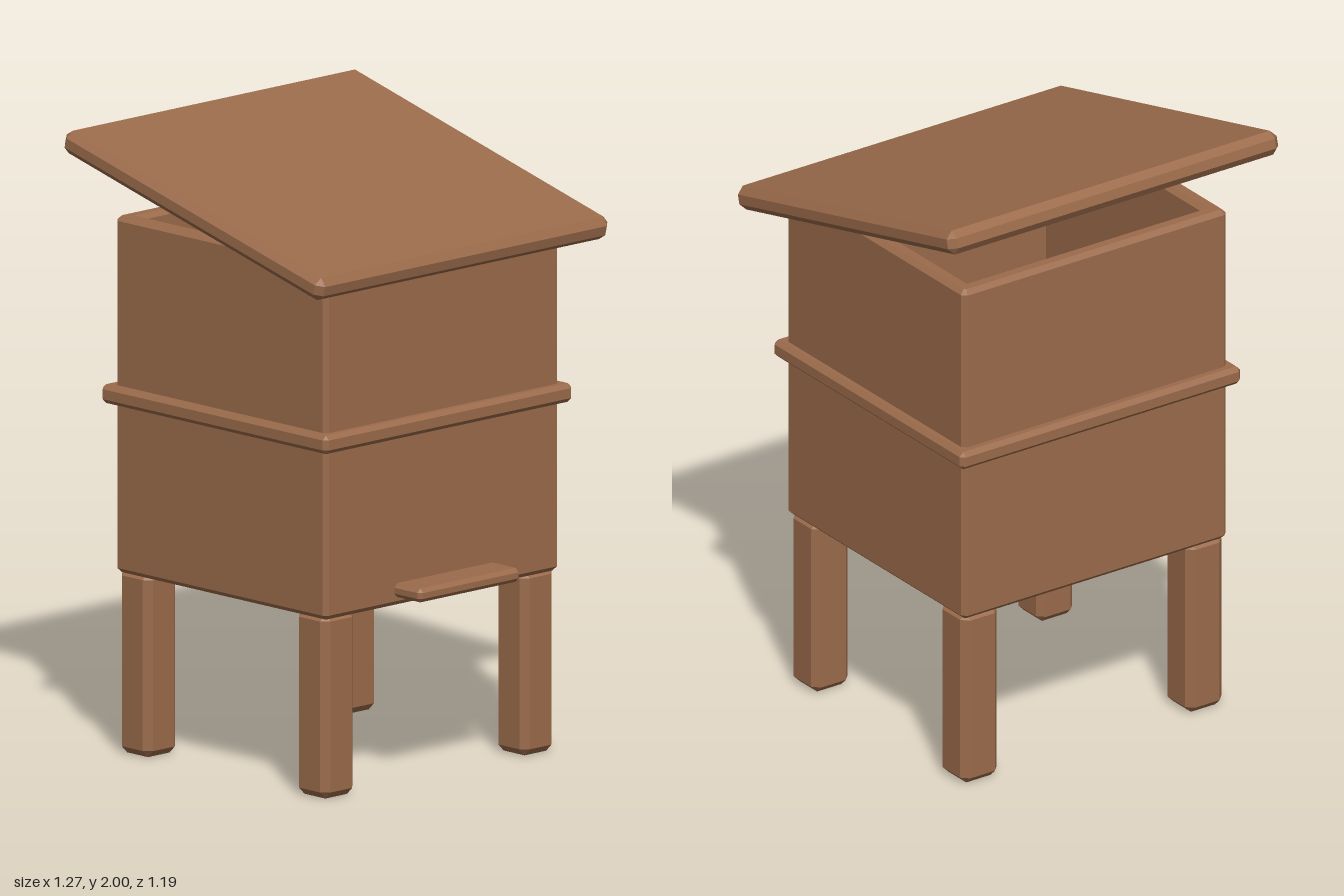
import * as THREE from 'three';
import { ConvexGeometry } from 'three/addons/geometries/ConvexGeometry.js';

const wood = new THREE.MeshStandardMaterial({ color: 0x9b6b4b, flatShading: true });
wood.name = 'wood';

// Box with every edge cut at 45 degrees
function chamferBox(w, h, d, c) {
  const points = [];
  for (const sx of [-1, 1]) for (const sy of [-1, 1]) for (const sz of [-1, 1]) {
    const x = w / 2, y = h / 2, z = d / 2;
    points.push(
      new THREE.Vector3(sx * x, sy * (y - c), sz * (z - c)),
      new THREE.Vector3(sx * (x - c), sy * y, sz * (z - c)),
      new THREE.Vector3(sx * (x - c), sy * (y - c), sz * z));
  }
  return new ConvexGeometry(points);
}

// Four-walled box, open at top and bottom, with cut outer corners
function hollowBox(w, h, d, wall, c) {
  const x = w / 2, z = d / 2, ix = x - wall, iz = z - wall;
  const shape = new THREE.Shape([
    [x - c, -z], [x, -z + c], [x, z - c], [x - c, z],
    [-x + c, z], [-x, z - c], [-x, -z + c], [-x + c, -z],
  ].map(p => new THREE.Vector2(...p)));
  shape.holes.push(new THREE.Path(
    [[-ix, -iz], [-ix, iz], [ix, iz], [ix, -iz]].map(p => new THREE.Vector2(...p))));
  const geometry = new THREE.ExtrudeGeometry(shape, {
    depth: h - 2 * c, bevelEnabled: true, bevelThickness: c,
    bevelSize: c, bevelOffset: -c, bevelSegments: 1,
  });
  geometry.translate(0, 0, c - h / 2);
  geometry.rotateX(-Math.PI / 2);
  return geometry;
}

export function createModel() {
  const hive = new THREE.Group();
  hive.name = 'beehive';

  function add(name, geometry, x, y, z) {
    const mesh = new THREE.Mesh(geometry, wood);
    mesh.name = name;
    mesh.position.set(x, y, z);
    hive.add(mesh);
    return mesh;
  }

  // Legs
  const leg = chamferBox(0.14, 0.595, 0.14, 0.023);
  for (const [sx, side] of [[1, 'Left'], [-1, 'Right']]) {
    add('front' + side + 'Leg', leg, sx * 0.433, 0.2975, 0.395);
    add('back' + side + 'Leg', leg, sx * 0.433, 0.2975, -0.405);
  }

  // Two stacked hive boxes with a projecting board between them
  add('lowerBox', hollowBox(1.02, 0.57, 0.955, 0.06, 0.015), 0, 0.865, -0.003);
  add('upperBox', hollowBox(1.02, 0.57, 0.955, 0.06, 0.015), 0, 1.44, -0.003);
  add('dividerBoard', chamferBox(1.08, 0.06, 1.02, 0.014), 0, 1.152, -0.004);

  // Landing board at the entrance
  add('landingBoard', chamferBox(0.44, 0.045, 0.13, 0.013), 0, 0.633, 0.535);

  // Slanted roof, lower at the front
  const roof = add('roof', chamferBox(1.272, 0.078, 1.202, 0.023), 0, 1.82, -0.008);
  roof.rotation.x = 0.25;

  return hive;
}
